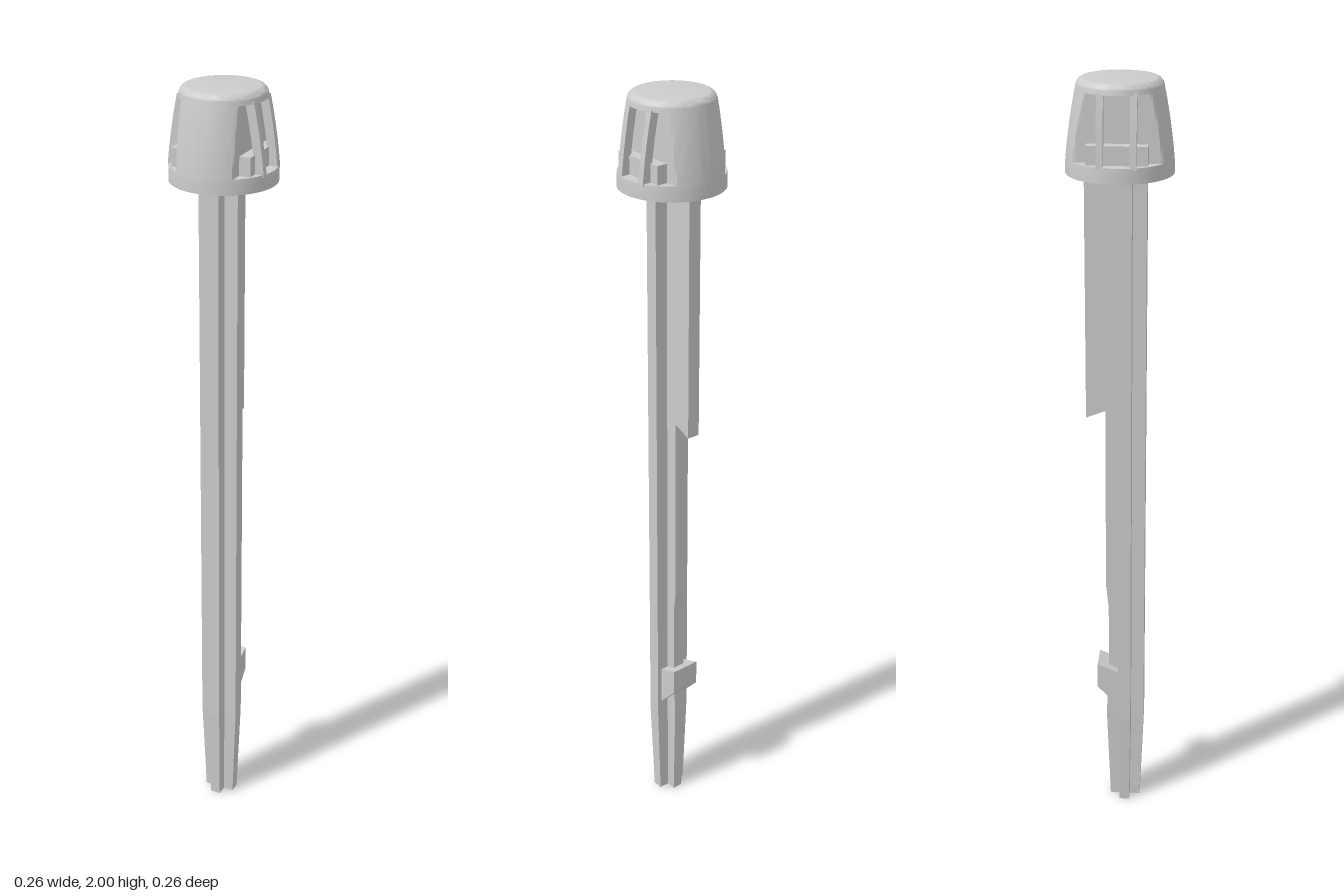
import * as THREE from 'three';
import { toCreasedNormals } from 'three/addons/utils/BufferGeometryUtils.js';

const material = new THREE.MeshStandardMaterial({ color: 0xcccccc });
const BASE = 1.815, CROWN = 1.975, CUT = 0.073;

// Cap radius at height y: a gently bulging taper above a short straight lip
function capRadius(y) {
  const t = Math.max(0, (y - 1.8) / 0.175);
  return 0.13 - 0.014 * t - 0.011 * t * t;
}

function add(group, name, geometry) {
  const mesh = new THREE.Mesh(geometry, material);
  mesh.name = name;
  group.add(mesh);
  return mesh;
}

function lathe(points) {
  return toCreasedNormals(new THREE.LatheGeometry(points.map(p => new THREE.Vector2(...p)), 64), 0.6);
}

function extrude(points, depth) {
  const shape = new THREE.Shape(points.map(p => new THREE.Vector2(...p)));
  return new THREE.ExtrudeGeometry(shape, { depth, bevelEnabled: false });
}

// Side profile given as [distance behind the centre, height], centred across x
function sidePlate(points, width) {
  return extrude(points, width).translate(0, 0, -width / 2).rotateY(Math.PI / 2);
}

// Cross-shaped shaft; each level is [height, scale, reach of the back arm]
function shaftGeometry() {
  const levels = [[0, 0.8, 0.05], [0.27, 1, 0.05], [0.43, 1, 0.044], [0.6, 1, 0.044], [0.67, 1, 0.051], [1.79, 1, 0.051]];
  const a = 0.017, b = 0.051;
  const cross = [[a, -b], [a, -a], [b, -a], [b, a], [a, a], [a, b], [-a, b], [-a, a], [-b, a], [-b, -a], [-a, -a], [-a, -b]];
  const shape = new THREE.Shape(cross.map(p => new THREE.Vector2(...p)));
  const steps = levels.length - 1;
  const geo = new THREE.ExtrudeGeometry(shape, { depth: steps, steps, bevelEnabled: false }).rotateX(-Math.PI / 2);
  const pos = geo.attributes.position;
  for (let i = 0; i < pos.count; i++) {
    const [y, s, back] = levels[Math.round(pos.getY(i))];
    const z = pos.getZ(i) < -0.03 ? -back : pos.getZ(i);
    pos.setXYZ(i, pos.getX(i) * s, y, z * s + 0.015);
  }
  geo.computeVertexNormals();
  return geo;
}

// Middle of the cap: round front and back, cut flat on both sides
function capCore() {
  const geo = new THREE.CylinderGeometry(1, 1, CROWN - BASE, 96, 8, true).translate(0, (BASE + CROWN) / 2, 0);
  const pos = geo.attributes.position;
  for (let i = 0; i < pos.count; i++) {
    const r = capRadius(pos.getY(i));
    pos.setX(i, THREE.MathUtils.clamp(pos.getX(i) * r, -CUT, CUT));
    pos.setZ(i, pos.getZ(i) * r);
  }
  return toCreasedNormals(geo, 0.5);
}

// Curved upright bar that bridges a side opening
function capRib() {
  const outer = [], inner = [], z = 0.039;
  for (let i = 0; i <= 8; i++) {
    const y = BASE - 0.005 + (CROWN - BASE + 0.01) * i / 8;
    const x = Math.sqrt(capRadius(y) ** 2 - z * z);
    outer.push([x, y]);
    inner.unshift([x - 0.022, y]);
  }
  return extrude([...outer, ...inner], 0.016).translate(0, 0, -0.008);
}

export function createModel() {
  const model = new THREE.Group();
  model.name = 'pushPin';

  // Shaft with its deeper back fin and catch
  add(model, 'shaft', shaftGeometry());
  add(model, 'backFin', sidePlate([[0.0, 1.17], [0.04, 1.168], [0.085, 1.15], [0.085, 1.79], [0.0, 1.79]], 0.034));
  add(model, 'catch', sidePlate([[0.0, 0.305], [0.058, 0.366], [0.058, 0.435], [0.0, 0.413]], 0.078));

  // Cap
  const cap = new THREE.Group();
  cap.name = 'cap';
  model.add(cap);
  add(cap, 'capBase', lathe([[0, 1.778], [0.13, 1.778], [0.13, 1.8], [capRadius(BASE), BASE], [0, BASE]]));
  add(cap, 'capCore', capCore());
  const crown = [[0, CROWN], [capRadius(CROWN), CROWN]];
  for (let i = 0; i <= 6; i++) {
    const t = i / 6 * Math.PI / 2;
    crown.push([0.086 + 0.018 * Math.cos(t), 1.98 + 0.02 * Math.sin(t)]);
  }
  crown.push([0, 2]);
  add(cap, 'capCrown', lathe(crown));

  // Side openings: two ribs and an inner ledge on each side
  for (const side of [0, Math.PI]) {
    const opening = new THREE.Group();
    opening.name = 'sideOpening';
    opening.rotation.y = side;
    cap.add(opening);
    for (const z of [-0.039, 0.039]) add(opening, 'rib', capRib()).position.z = z;
    add(opening, 'ledge', new THREE.BoxGeometry(0.032, 0.047, 0.145)).position.set(0.085, 1.8365, 0);
  }
  return model;
}
